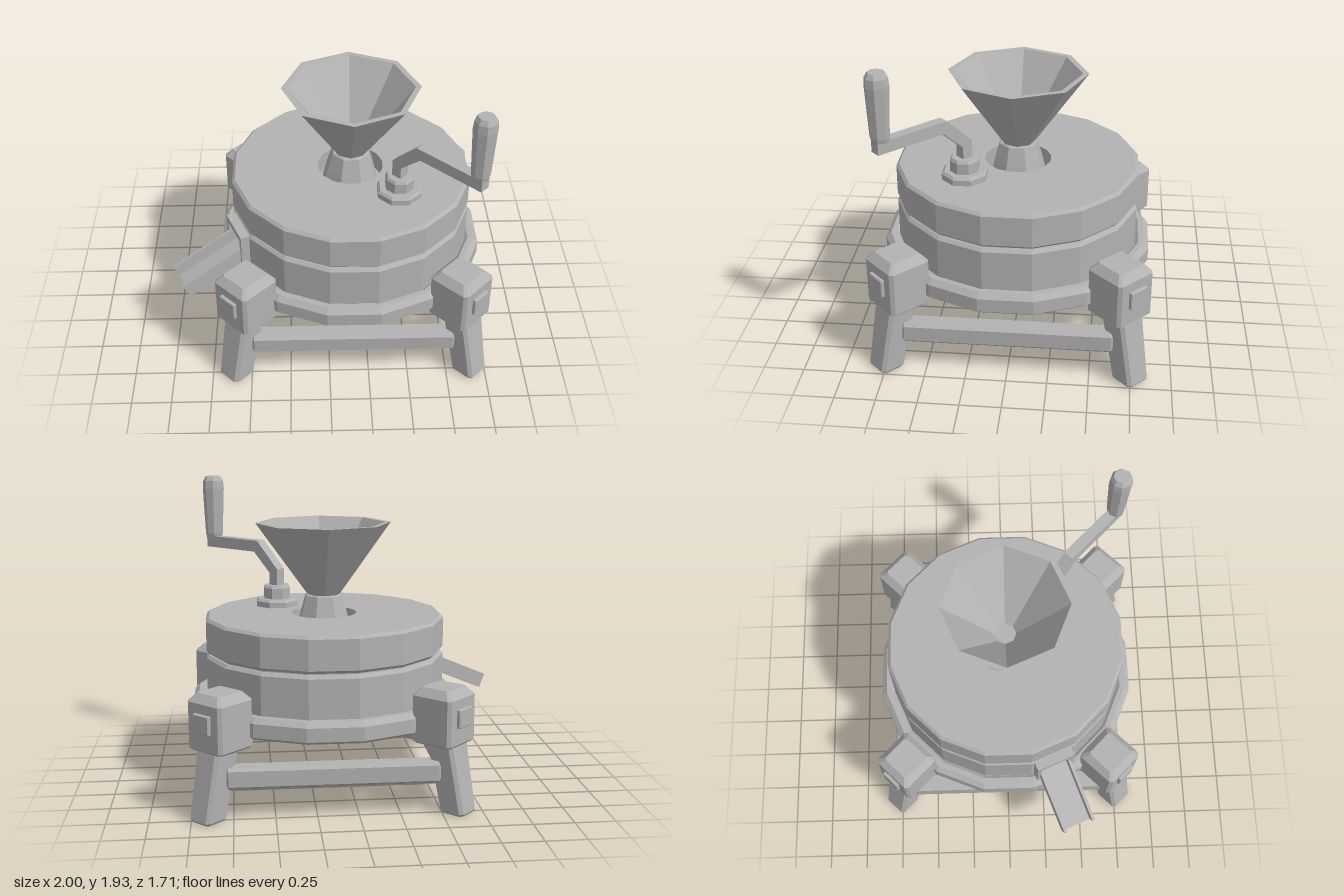
import * as THREE from 'three';

const stone = new THREE.MeshStandardMaterial({ color: 0xb2b2b2, flatShading: true });
stone.name = 'plain grey';

function add(parent, name, geometry, x = 0, y = 0, z = 0) {
  const m = new THREE.Mesh(geometry, stone);
  m.name = name;
  m.position.set(x, y, z);
  parent.add(m);
  return m;
}

const box = (w, h, d) => new THREE.BoxGeometry(w, h, d);

// Turned part; the profile runs up the outside and down the inside
function turned(profile, sides, turn = 0) {
  const g = new THREE.LatheGeometry(profile.map(([r, y]) => new THREE.Vector2(r, y)), sides);
  return g.rotateY(turn);
}

// Chamfered rectangles stacked along y: [y, halfX, halfZ, chamfer, shiftX]
function loft(sections) {
  const pos = [], idx = [];
  for (const [y, hx, hz, c, dx = 0] of sections) {
    const ring = [[hx, -hz + c], [hx, hz - c], [hx - c, hz], [-hx + c, hz],
      [-hx, hz - c], [-hx, -hz + c], [-hx + c, -hz], [hx - c, -hz]];
    for (const [x, z] of ring) pos.push(x + dx, y, z);
  }
  const last = (sections.length - 1) * 8;
  for (let i = 0; i < last; i += 8) {
    for (let j = 0; j < 8; j++) {
      const k = (j + 1) % 8;
      idx.push(i + j, i + 8 + j, i + k, i + k, i + 8 + j, i + 8 + k);
    }
  }
  for (let j = 1; j < 7; j++) {
    idx.push(0, j, j + 1);
    idx.push(last, last + j + 1, last + j);
  }
  const g = new THREE.BufferGeometry();
  g.setAttribute('position', new THREE.Float32BufferAttribute(pos, 3));
  g.setIndex(idx);
  g.computeVertexNormals();
  return g;
}

// Bar along y with bevelled ends
function bar(len, hx, hz, b) {
  const h = len / 2;
  return loft([[-h, hx - b, hz - b, b], [-h + b, hx, hz, b], [h - b, hx, hz, b], [h, hx - b, hz - b, b]]);
}

function makeLeg() {
  const leg = new THREE.Group();
  leg.name = 'cornerLeg';
  add(leg, 'splayedFoot', loft([
    [0, 0.073, 0.073, 0.018, 1.06], [0.015, 0.083, 0.083, 0.02, 1.06], [0.46, 0.094, 0.094, 0.02, 0.963]]));
  add(leg, 'cornerBlock', loft([
    [0.42, 0.125, 0.125, 0.02], [0.435, 0.141, 0.141, 0.02],
    [0.715, 0.141, 0.141, 0.02], [0.765, 0.098, 0.098, 0.015]]), 0.943);
  // Peg end on the outward face
  const peg = add(leg, 'pegPlate', loft([
    [0, 0.058, 0.065, 0.004], [0.02, 0.058, 0.065, 0.004], [0.026, 0.052, 0.059, 0.004]]), 1.08, 0.598, 0);
  peg.rotation.z = -Math.PI / 2;
  return leg;
}

function makeChute() {
  const chute = new THREE.Group();
  chute.name = 'chute';
  chute.rotation.y = -Math.PI * 7 / 8;
  // Sloping channel
  const channel = new THREE.Group();
  channel.name = 'channel';
  channel.position.set(0.95, 0.627, 0);
  channel.rotation.z = -0.42;
  add(channel, 'channelFloor', box(0.5, 0.022, 0.22), 0, -0.039, 0);
  for (const s of [-1, 1]) add(channel, 'channelWall', box(0.5, 0.1, 0.02), 0, 0, s * 0.1);
  chute.add(channel);
  // Frame around the outlet
  add(chute, 'outletLintel', box(0.075, 0.04, 0.26), 0.772, 0.83, 0);
  for (const s of [-1, 1]) add(chute, 'outletPost', box(0.075, 0.21, 0.03), 0.772, 0.705, s * 0.115);
  return chute;
}

function makeCrank() {
  const crank = new THREE.Group();
  crank.name = 'crank';
  crank.position.set(0.29, 0, 0.3);
  crank.rotation.y = -Math.PI / 4;
  const turn = Math.PI / 8;
  add(crank, 'crankFlange', turned([[0, 1.08], [0.145, 1.08], [0.145, 1.135], [0.13, 1.15], [0, 1.15]], 8, turn));
  add(crank, 'crankNut', turned([[0, 1.15], [0.092, 1.15], [0.092, 1.22], [0.08, 1.237], [0, 1.237]], 8, turn));
  // Bent arm
  const outline = [[-0.034, 1.2], [0.034, 1.2], [0.034, 1.315], [0.175, 1.445],
    [0.625, 1.445], [0.625, 1.52], [0.145, 1.52], [-0.034, 1.345]];
  const shape = new THREE.Shape(outline.map(([x, y]) => new THREE.Vector2(x, y)));
  add(crank, 'crankArm', new THREE.ExtrudeGeometry(shape, { depth: 0.068, bevelEnabled: false }), 0, 0, -0.034);
  add(crank, 'handGrip', turned([[0, 1.515], [0.052, 1.515], [0.058, 1.54], [0.072, 1.85],
    [0.068, 1.9], [0.05, 1.93], [0, 1.93]], 8), 0.587, 0, 0);
  return crank;
}

export function createModel() {
  const model = new THREE.Group();
  model.name = 'handMill';
  const mill = new THREE.Group();
  mill.name = 'mill';
  mill.position.x = 0.15;
  model.add(mill);
  const half = Math.PI / 16;

  // Ring tray and the two stones
  add(mill, 'trayRing', turned([[0.6, 0.472], [0.835, 0.472], [0.857, 0.49], [0.857, 0.575],
    [0.825, 0.607], [0.79, 0.607], [0.77, 0.59], [0.6, 0.59], [0.6, 0.472]], 16, half));
  add(mill, 'lowerStone', turned([[0, 0.58], [0.768, 0.58], [0.768, 0.845],
    [0.75, 0.865], [0, 0.865]], 16, half));
  add(mill, 'stoneGap', turned([[0.735, 0.86], [0.735, 0.885]], 16, half));
  add(mill, 'upperStone', turned([[0.2, 0.875], [0.75, 0.875], [0.768, 0.893], [0.768, 1.082],
    [0.75, 1.1], [0.21, 1.1], [0.21, 0.98], [0, 0.98]], 16, half));

  // Hopper with its neck in the eye of the stone
  add(mill, 'hopperNeck', turned([[0.188, 0.98], [0.158, 1.1], [0.124, 1.215], [0.115, 1.222], [0, 1.222]], 8, Math.PI / 8));
  add(mill, 'hopper', turned([[0.09, 1.2], [0.432, 1.68], [0.395, 1.68], [0.07, 1.23], [0, 1.23]], 8));

  mill.add(makeCrank(), makeChute());

  // Legs at the corners, rails along the sides
  for (let i = 0; i < 4; i++) {
    const leg = makeLeg();
    leg.rotation.y = Math.PI / 4 + i * Math.PI / 2;
    mill.add(leg);
    const side = new THREE.Group();
    side.name = 'railSide';
    side.rotation.y = i * Math.PI / 2;
    add(side, 'lowerRail', bar(1.29, 0.066, 0.062, 0.018), 0, 0.256, 0.714).rotation.z = Math.PI / 2;
    mill.add(side);
  }
  return model;
}
